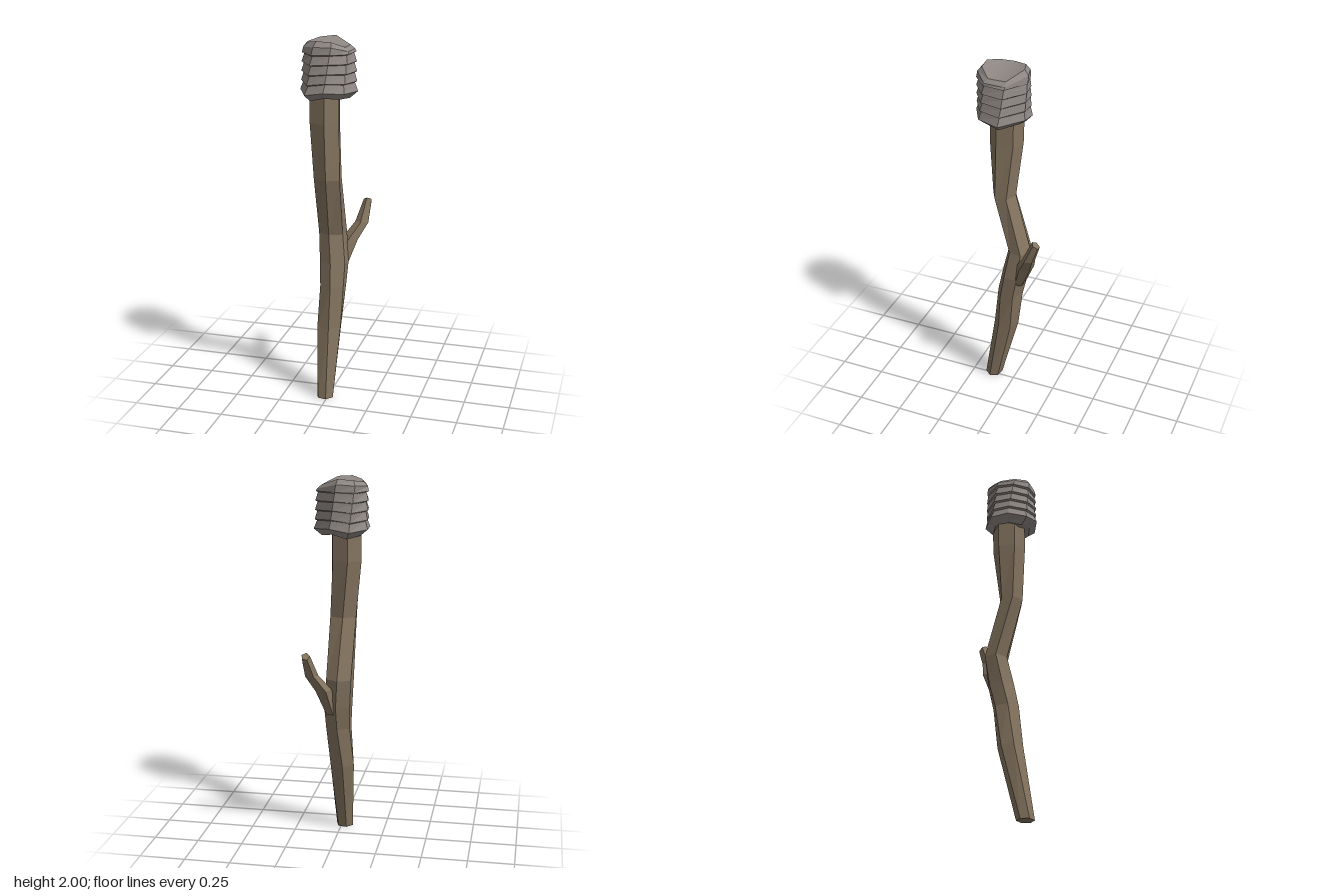
import * as THREE from 'three';

const wood = new THREE.MeshStandardMaterial({ color: 0x857560, flatShading: true });
const cloth = new THREE.MeshStandardMaterial({ color: 0x8f8884, flatShading: true });
const clothSmooth = new THREE.MeshStandardMaterial({ color: 0x8f8884 });

// Ring of corners fitted to the given x and z limits; tilt lowers the back edge
function ring([y, x0, x1, z0, z1, turn = 0, tilt = 0], sides) {
  const pts = [];
  for (let i = 0; i < sides; i++) {
    const a = (i / sides) * Math.PI * 2 + turn;
    pts.push(new THREE.Vector3(Math.cos(a), y, Math.sin(a)));
  }
  const box = new THREE.Box3().setFromPoints(pts);
  for (const p of pts) {
    p.x = THREE.MathUtils.mapLinear(p.x, box.min.x, box.max.x, x0, x1);
    p.z = THREE.MathUtils.mapLinear(p.z, box.min.z, box.max.z, z0, z1);
    p.y += tilt * (p.z - z1);
  }
  return pts;
}

function centre(pts) {
  return pts.reduce((c, p) => c.add(p), new THREE.Vector3()).divideScalar(pts.length);
}

// Faceted skin through a stack of rings, with optional end caps
function loft(rings, capBottom = true, capTop = true) {
  const tri = [];
  const n = rings[0].length;
  const bottom = rings[0], top = rings[rings.length - 1];
  const cb = centre(bottom), ct = centre(top);
  for (let i = 0; i < n; i++) {
    const j = (i + 1) % n;
    for (let r = 0; r + 1 < rings.length; r++) {
      const lo = rings[r], hi = rings[r + 1];
      tri.push(lo[i], hi[i], lo[j], hi[i], hi[j], lo[j]);
    }
    if (capBottom) tri.push(cb, bottom[i], bottom[j]);
    if (capTop) tri.push(ct, top[j], top[i]);
  }
  const geo = new THREE.BufferGeometry().setFromPoints(tri);
  geo.computeVertexNormals();
  return geo;
}

function add(group, name, geo, material) {
  const mesh = new THREE.Mesh(geo, material);
  mesh.name = name;
  group.add(mesh);
}

export function createModel() {
  const group = new THREE.Group();
  group.name = 'torch';

  // Crooked handle: y, x limits, z limits, turn
  const handle = [
    [0, -0.065, 0.03, 0.085, 0.175, 0.2],
    [0.4, -0.085, 0.055, -0.02, 0.115, 0.35],
    [0.63, -0.067, 0.065, -0.055, 0.09, 0.5],
    [0.76, -0.075, 0.07, -0.085, 0.065, 0.55],
    [0.92, -0.088, 0.055, -0.1, 0.032, 0.6],
    [1.25, -0.093, 0.053, -0.005, 0.122, 0.45],
    [1.56, -0.122, 0.048, -0.035, 0.14, 0.3],
    [1.75, -0.122, 0.048, -0.04, 0.14, 0.3],
  ];
  add(group, 'handle', loft(handle.map((r) => ring(r, 6))), wood);

  // Side twig growing back and to the left
  const twig = [
    [0.72, 0, 0.06, -0.075, -0.01, 0.4],
    [0.87, 0.02, 0.112, -0.14, -0.05, 0.4],
    [0.96, 0.085, 0.16, -0.17, -0.105, 0.4],
    [1.09, 0.12, 0.165, -0.205, -0.165, 0.4, 0.7],
  ];
  add(group, 'twig', loft(twig.map((r) => ring(r, 5))), wood);

  // Wrapped head: twisted octagon whose rows overlap, smoother at the back
  const topAngles = [25, 68, 107, 146, 185, 230, 274, 335];
  const wobble = [0, 0.004, 0.012, -0.002, 0.004, -0.004, -0.006, 0.003];
  const headRing = (y, radius, flare = 0, rimWave = 0) => topAngles.map((deg, i) => {
    const t = (y - 1.69) / 0.31;
    const a = THREE.MathUtils.degToRad(deg + 20 * (1 - t));
    const folds = i === 5 || i === 6 ? 0.2 : 1;
    const r = radius + flare * folds + wobble[i] * (1.3 - t);
    const dip = rimWave * Math.cos(a) ** 2 * (Math.cos(a) > 0 ? 1 : 0.5);
    const sag = (1 - t) * 0.012 * Math.sin(i * 2.3);
    return new THREE.Vector3(-0.015 + Math.cos(a) * r, y - dip + sag, 0.053 + Math.sin(a) * r);
  });
  const rows = [headRing(1.695, 0.108), headRing(1.73, 0.147, 0.004)];
  for (let k = 1; k <= 4; k++) {
    const y = 1.73 + k * 0.05;
    rows.push(headRing(y - 0.006, 0.139 - k * 0.001, -0.004));
    rows.push(headRing(y, 0.141 - k * 0.001, 0.006));
  }
  rows.push(headRing(1.972, 0.137, 0, 0.035));
  const rim = headRing(2, 0.114, 0, 0.045);
  rows.push(rim);
  add(group, 'wrappedHead', loft(rows, true, false), cloth);

  // Shallow hollow on top
  const mid = centre(rim);
  mid.y = 1.965;
  const hollow = new THREE.BufferGeometry().setFromPoints([mid, ...rim]);
  hollow.setIndex(rim.flatMap((_, i) => [0, ((i + 1) % rim.length) + 1, i + 1]));
  hollow.computeVertexNormals();
  add(group, 'headTop', hollow, clothSmooth);

  return group;
}
